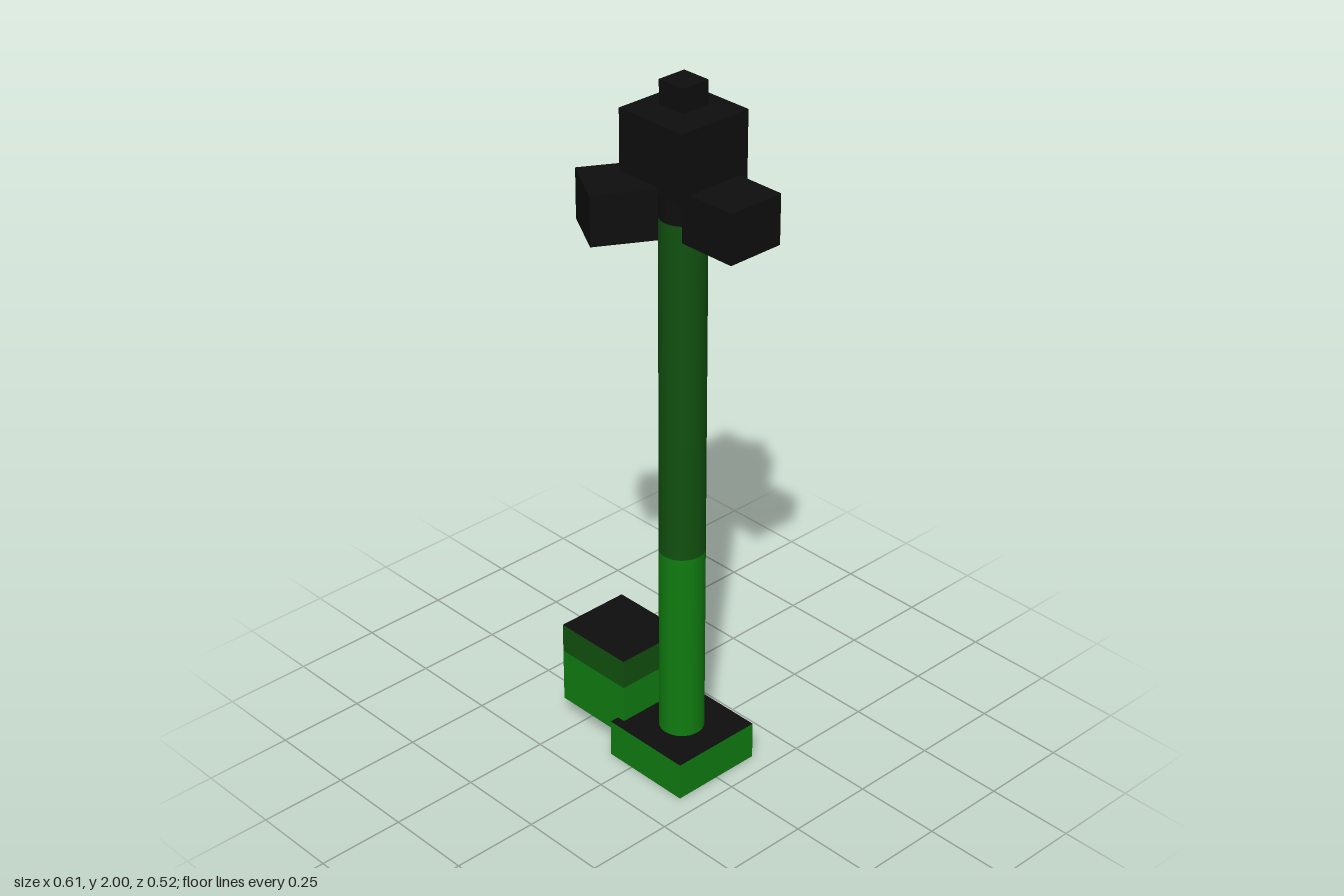
import * as THREE from 'three';

export function createModel() {
  const mat = (name, color) => {
    const m = new THREE.MeshStandardMaterial({ color });
    m.name = name;
    return m;
  };
  const green = mat('green', 0x107c10);
  const darkGreen = mat('dark green', 0x11500f);
  const black = mat('black', 0x0e0e0e);

  const model = new THREE.Group();
  model.name = 'pole';
  const axisX = 0.054; // vertical axis of the pole

  function add(name, geometry, material, x, y, z = 0) {
    const mesh = new THREE.Mesh(geometry, material);
    mesh.name = name;
    mesh.position.set(x, y, z);
    model.add(mesh);
    return mesh;
  }

  // Box spanning y0..y1, with coloured sides and black top and bottom
  function block(name, x, y0, y1, w, d, side) {
    const geometry = new THREE.BoxGeometry(w, y1 - y0, d);
    return add(name, geometry, [side, side, black, black, side, side], x, (y0 + y1) / 2);
  }

  // Base plate
  block('base', axisX, 0, 0.11, 0.274, 0.274, green);

  // Side box in two bands
  block('sideBoxLower', -0.182, 0.06, 0.22, 0.246, 0.22, green);
  block('sideBoxUpper', -0.182, 0.22, 0.306, 0.246, 0.22, darkGreen);

  // Round pole in three bands
  const bands = [
    ['poleLower', 0.11, 0.675, green],
    ['poleMiddle', 0.675, 1.64, darkGreen],
    ['poleTop', 1.64, 1.722, black],
  ];
  for (const [name, y0, y1, side] of bands) {
    const geometry = new THREE.CylinderGeometry(0.062, 0.062, y1 - y0, 32);
    add(name, geometry, [side, black, black], axisX, (y0 + y1) / 2);
  }

  // Three arm blocks around the pole top
  for (let i = 0; i < 3; i++) {
    const a = (i * Math.PI * 2) / 3;
    const r = 0.167;
    const arm = add('armBlock', new THREE.BoxGeometry(0.168, 0.137, 0.166), black,
      axisX + r * Math.cos(a), 1.691, -r * Math.sin(a));
    arm.rotation.y = a;
  }

  // Head block and the small cap above it
  block('head', axisX, 1.735, 1.925, 0.22, 0.22, black);
  block('cap', axisX, 1.936, 2, 0.084, 0.084, black);

  return model;
}
